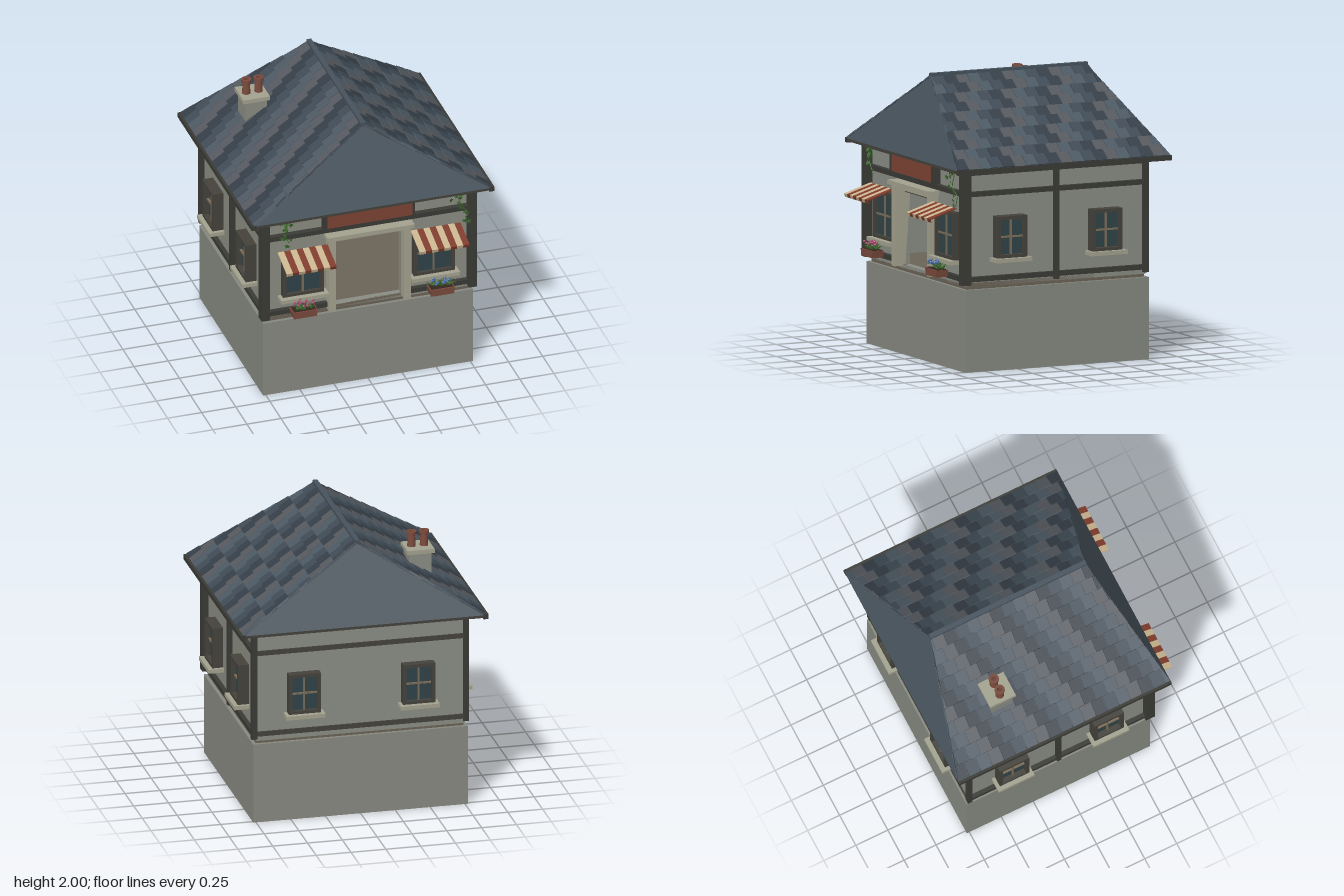
import * as THREE from 'three';
import { mergeGeometries } from 'three/addons/utils/BufferGeometryUtils.js';

const mat = (color, side = THREE.FrontSide) => new THREE.MeshStandardMaterial({ color, side, flatShading: true, roughness: 0.9 });
const M = {
  wall: mat(0x8a8d83), base: mat(0x868980), timber: mat(0x3a3a36), stone: mat(0xa3a28f), floor: mat(0x6b6356),
  glass: mat(0x2f4347), frame: mat(0x45423b), muntin: mat(0x7a6c58), rust: mat(0x7d4434), cream: mat(0xc9b48f),
  red: mat(0x7f3c2c), slate: mat(0x47535d, THREE.DoubleSide), ridge: mat(0x46525d), terracotta: mat(0x7a4a3c, THREE.DoubleSide),
  leaf: mat(0x3d6b2c, THREE.DoubleSide), pink: mat(0xa8466f), blue: mat(0x4a6fa5), soil: mat(0x33281f),
};
const TILES = [0x353e48, 0x3f4b56, 0x4d5963, 0x55595f].map((c) => mat(c));

let seed = 7;
const rnd = () => (seed = (seed * 16807) % 2147483647) / 2147483647;

function add(parent, name, geometry, material) {
  const mesh = new THREE.Mesh(geometry, material);
  mesh.name = name;
  parent.add(mesh);
  return mesh;
}
// Box given by its lower and upper limits on each axis
function box(parent, name, material, x0, x1, y0, y1, z0, z1) {
  const g = new THREE.BoxGeometry(x1 - x0, y1 - y0, z1 - z0);
  g.translate((x0 + x1) / 2, (y0 + y1) / 2, (z0 + z1) / 2);
  return add(parent, name, g, material);
}
function group(parent, name, x = 0, y = 0, z = 0, ry = 0) {
  const g = new THREE.Group();
  g.name = name;
  g.position.set(x, y, z);
  g.rotation.y = ry;
  parent.add(g);
  return g;
}

// Window facing +z, its bottom centre at the origin on the wall plane
function windowUnit(parent, x, y, z, ry, w, h, depth, sillDepth) {
  const g = group(parent, 'window', x, y, z, ry), a = w / 2, f = 0.025;
  box(g, 'glass', M.glass, -a + f, a - f, f, h - f, 0, depth * 0.5);
  for (const s of [-1, 1]) {
    const c = s * (a - f / 2);
    box(g, 'windowJamb', M.frame, c - f / 2, c + f / 2, 0, h, 0, depth);
  }
  box(g, 'windowHead', M.frame, -a + f, a - f, h - f, h, 0, depth);
  box(g, 'windowFoot', M.frame, -a + f, a - f, 0, f, 0, depth);
  box(g, 'muntinVertical', M.muntin, -0.006, 0.006, f, h - f, 0, depth * 0.7);
  box(g, 'muntinHorizontal', M.muntin, -a + f, a - f, h / 2 - 0.006, h / 2 + 0.006, 0, depth * 0.7);
  box(g, 'sill', M.stone, -a - 0.025, a + 0.025, -0.025, 0.003, 0, sillDepth);
}

function leafShape(r) {
  const s = new THREE.Shape();
  [[0, -0.5], [0.7, -0.6], [0.5, -0.1], [0.95, 0.3], [0.35, 0.35], [0, 1], [-0.35, 0.35], [-0.95, 0.3], [-0.5, -0.1], [-0.7, -0.6]]
    .forEach(([x, y], i) => (i ? s.lineTo(x * r, y * r) : s.moveTo(x * r, y * r)));
  return new THREE.ShapeGeometry(s);
}

function ivy(parent, points) {
  const g = group(parent, 'ivy');
  const curve = new THREE.CatmullRomCurve3(points.map(([x, y]) => new THREE.Vector3(x, y, 0.7)));
  add(g, 'ivyStem', new THREE.TubeGeometry(curve, 16, 0.003, 4), M.leaf);
  const leaves = [];
  for (let i = 0; i < 15; i++) {
    const p = curve.getPoint(i / 14);
    leaves.push(leafShape(0.015 + rnd() * 0.01).rotateX(rnd() - 0.6).rotateY(rnd() - 0.5).rotateZ(rnd() * 6)
      .translate(p.x + (rnd() - 0.5) * 0.05, p.y + (rnd() - 0.5) * 0.03, 0.71 + rnd() * 0.02));
  }
  add(g, 'ivyLeaves', mergeGeometries(leaves), M.leaf);
}

function flowerBox(parent, x, petals) {
  const g = group(parent, 'flowerBox', x, 0.655, 0.75);
  const trough = new THREE.BoxGeometry(0.18, 0.05, 0.09), p = trough.attributes.position;
  for (let i = 0; i < p.count; i++) if (p.getY(i) < 0) p.setX(i, p.getX(i) * 0.92);
  add(g, 'planter', trough.translate(0, 0.025, 0), M.terracotta);
  box(g, 'soil', M.soil, -0.08, 0.08, 0.045, 0.054, -0.035, 0.035);
  const leaves = [], blooms = [];
  for (let i = 0; i < 26; i++) {
    const a = i * 2.4, r = 0.04 + rnd() * 0.03;
    const cx = (rnd() - 0.5) * 0.12, cz = (rnd() - 0.5) * 0.05;
    leaves.push(new THREE.ConeGeometry(0.011, r, 4).scale(1, 1, 0.3).translate(0, r / 2, 0)
      .rotateZ(-0.7 - rnd() * 0.6).rotateY(a).translate(cx, 0.055 + rnd() * 0.015, cz));
    if (i % 2) blooms.push(new THREE.IcosahedronGeometry(0.011, 0)
      .translate((rnd() - 0.5) * 0.14, 0.085 + rnd() * 0.025, (rnd() - 0.5) * 0.09));
  }
  add(g, 'foliage', mergeGeometries(leaves), M.leaf);
  add(g, 'flowers', mergeGeometries(blooms), petals);
}

function awning(parent, x) {
  const g = group(parent, 'awning', x, 1.145, 0.68), n = 8, w = 0.365 / n;
  g.rotation.x = 0.3;
  for (let i = 0; i < n; i++) {
    const x0 = -0.1825 + i * w, m = i % 2 ? M.red : M.cream;
    box(g, 'awningStripe', m, x0, x0 + w, -0.004, 0.004, 0, 0.215);
    box(g, 'awningValance', m, x0, x0 + w, -0.022, 0.004, 0.209, 0.215);
  }
}

// Roof: a hipped shell with courses of slates trimmed along the hips
const EAVE = 1.44, RIDGE = 1.97, HALF = 0.86, FRONT = [0.77, 0.55], BACK = [-0.89, -0.67];
function roof(parent) {
  const g = group(parent, 'roof');
  const corners = [[-HALF, EAVE, FRONT[0]], [HALF, EAVE, FRONT[0]], [HALF, EAVE, BACK[0]], [-HALF, EAVE, BACK[0]], [0, RIDGE, FRONT[1]], [0, RIDGE, BACK[1]]];
  const faces = [0, 1, 4, 1, 2, 5, 1, 5, 4, 2, 3, 5, 3, 0, 4, 3, 4, 5];
  const shell = new THREE.BufferGeometry();
  shell.setAttribute('position', new THREE.Float32BufferAttribute(faces.flatMap((i) => corners[i]), 3));
  shell.computeVertexNormals();
  add(g, 'roofShell', shell, M.slate);

  const rows = 10, tile = 0.09, len = Math.hypot(HALF, RIDGE - EAVE), step = len / rows;
  const angle = Math.atan2(RIDGE - EAVE, HALF), sets = TILES.map(() => []);
  for (const side of [-1, 1]) for (let r = 0; r < rows; r++) for (let i = 0; i < 20; i++) {
    const z = BACK[0] + (i + (r % 2 ? 0 : 0.5)) * tile;
    const t = new THREE.BoxGeometry(step * 1.08, 0.012, tile - 0.004);
    t.rotateZ(0.05).translate((r + 0.48) * step, 0.008 + 0.004 * rnd(), 0);
    t.rotateZ(angle).translate(-HALF, EAVE, z);
    const p = t.attributes.position;
    let width = 0;
    for (let k = 0; k < p.count; k++) {
      const f = THREE.MathUtils.clamp((p.getY(k) - EAVE) / (RIDGE - EAVE), 0, 1);
      const zc = THREE.MathUtils.clamp(p.getZ(k), THREE.MathUtils.lerp(...BACK, f), THREE.MathUtils.lerp(...FRONT, f));
      width = Math.max(width, tile / 2 - Math.abs(zc - p.getZ(k)));
      p.setZ(k, zc);
    }
    if (width < 0) continue;
    if (side > 0) t.rotateY(Math.PI).translate(0, 0, FRONT[0] + BACK[0]);
    // The right-hand slope is turned round, so its colour steps are counted from the other end
    const band = side > 0 ? 40 - i + (r >> 1) : i + (r >> 1);
    sets[band % 4].push(t);
  }
  sets.forEach((s, i) => add(g, 'roofSlates', mergeGeometries(s), TILES[i]));
  box(g, 'ridgeCap', M.ridge, -0.018, 0.018, 1.96, 2, BACK[1], FRONT[1]);
  for (const s of [-1, 1]) {
    const x = s * 0.872;
    box(g, 'gutter', M.timber, x - 0.018, x + 0.018, 1.41, 1.445, BACK[0], FRONT[0]);
  }
  box(g, 'frontFascia', M.frame, -0.86, 0.86, 1.42, 1.44, 0.75, 0.768);
  box(g, 'backFascia', M.frame, -0.86, 0.86, 1.42, 1.44, -0.888, -0.87);
}

function chimney(parent) {
  const g = group(parent, 'chimney');
  box(g, 'chimneyStack', M.wall, -0.58, -0.42, 1.5, 1.785, -0.48, -0.32);
  box(g, 'chimneyCap', M.stone, -0.6, -0.405, 1.785, 1.815, -0.5, -0.3);
  const profile = [[0.03, 0], [0.025, 0.085], [0.036, 0.09], [0.036, 0.112], [0.018, 0.112], [0.018, 0.01], [0, 0.01]];
  for (const x of [-0.547, -0.457]) {
    const pot = add(g, 'chimneyPot', new THREE.LatheGeometry(profile.map((p) => new THREE.Vector2(...p)), 14), M.terracotta);
    pot.position.set(x, 1.815, -0.4);
  }
}

export function createModel() {
  const house = new THREE.Group();
  house.name = 'house';
  box(house, 'foundation', M.base, -0.77, 0.77, 0, 0.58, -0.77, 0.66);

  // Hollow room with a doorway in the front wall
  box(house, 'floor', M.floor, -0.745, 0.745, 0.58, 0.625, -0.745, 0.635);
  box(house, 'backWall', M.wall, -0.745, 0.745, 0.6, 1.42, -0.755, -0.7);
  for (const s of [-1, 1]) box(house, 'sideWall', M.wall, s * 0.7175 - 0.0275, s * 0.7175 + 0.0275, 0.6, 1.42, -0.7, 0.635);
  const front = new THREE.Shape([[-0.745, 0.6], [0.745, 0.6], [0.745, 1.42], [-0.745, 1.42]].map((p) => new THREE.Vector2(...p)));
  front.holes.push(new THREE.Path([[-0.25, 0.625], [-0.25, 1.17], [0.25, 1.17], [0.25, 0.625]].map((p) => new THREE.Vector2(...p))));
  add(house, 'frontWall', new THREE.ExtrudeGeometry(front, { depth: 0.055, bevelEnabled: false }).translate(0, 0, 0.58), M.wall);
  box(house, 'innerRail', M.frame, -0.69, 0.69, 0.765, 0.79, -0.7, -0.68);

  // Timber framing
  const t = group(house, 'timberFrame');
  const beams = [[0.635, 0.67], [1.235, 1.27], [1.385, 1.41]];
  for (const s of [-1, 1]) {
    const post = (z0, z1, d) => box(t, 'post', M.timber, s * 0.76 - d, s * 0.76 + d, 0.615, 1.405, z0, z1);
    post(0.62, 0.69, 0.03);
    post(-0.07, -0.035, 0.02);
    post(-0.765, -0.73, 0.02);
    for (const [y0, y1] of beams) box(t, 'sideBeam', M.timber, s * 0.755 - 0.02, s * 0.755 + 0.02, y0, y1, -0.74, 0.63);
    box(t, 'lowerFrontBeam', M.timber, Math.min(s * 0.29, s * 0.74), Math.max(s * 0.29, s * 0.74), 0.635, 0.67, 0.62, 0.67);
    box(t, 'signPost', M.timber, s * 0.322 - 0.01, s * 0.322 + 0.01, 1.27, 1.41, 0.62, 0.7);
  }
  for (const [y0, y1] of beams.slice(1)) box(t, 'frontBeam', M.timber, -0.74, 0.74, y0, y1, 0.62, 0.675);
  for (const [y0, y1] of beams.slice(0, 2)) box(t, 'backBeam', M.frame, -0.74, 0.74, y0, y1, -0.764, -0.74);
  box(house, 'signBoard', M.rust, -0.312, 0.312, 1.28, 1.405, 0.63, 0.695);

  // Door surround
  for (const s of [-1, 1]) box(house, 'doorPillar', M.stone, s * 0.275 - 0.025, s * 0.275 + 0.025, 0.615, 1.19, 0.58, 0.7);
  box(house, 'doorLintel', M.stone, -0.3, 0.3, 1.165, 1.19, 0.59, 0.69);
  box(house, 'lintelCap', M.stone, -0.32, 0.32, 1.19, 1.22, 0.61, 0.725);
  box(house, 'doorHead', M.frame, -0.25, 0.25, 1.135, 1.165, 0.59, 0.62);

  // Windows, awnings, planters
  for (const s of [-1, 1]) {
    windowUnit(house, s * 0.48, 0.77, 0.635, 0, 0.3, 0.34, 0.045, 0.085);
    awning(house, s * 0.4875);
    flowerBox(house, s * 0.503, s < 0 ? M.pink : M.blue);
    windowUnit(house, s * 0.41, 0.793, -0.755, Math.PI, 0.23, 0.297, 0.06, 0.095);
    for (const z of [0.317, -0.423]) windowUnit(house, s * 0.745, 0.793, z, s * Math.PI / 2, 0.23, 0.297, 0.078, 0.11);
  }
  ivy(house, [[-0.66, 1.4], [-0.6, 1.38], [-0.64, 1.31], [-0.59, 1.22]]);
  ivy(house, [[0.6, 1.36], [0.68, 1.4], [0.65, 1.3], [0.72, 1.24], [0.7, 1.16]]);

  roof(house);
  chimney(house);
  return house;
}
